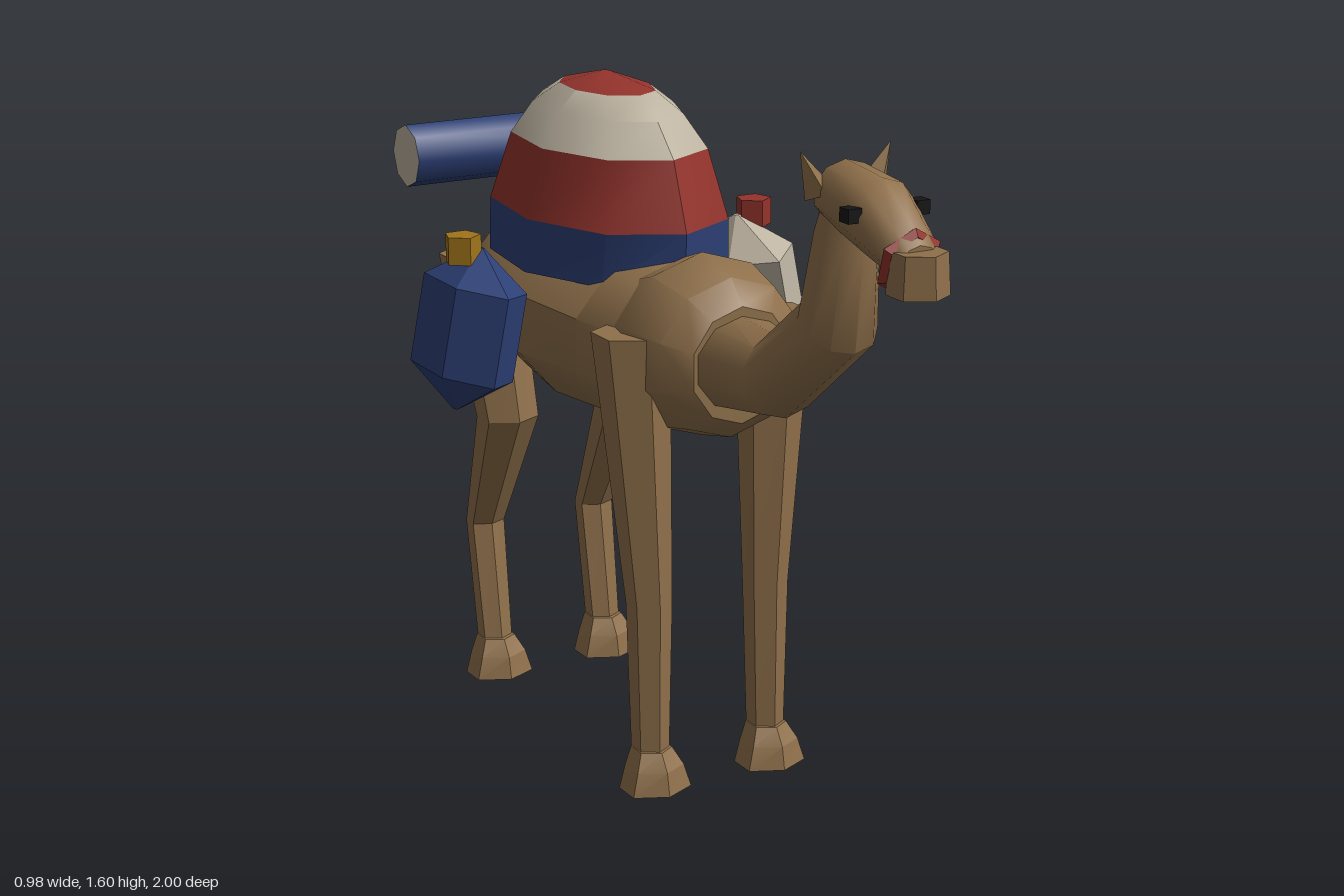
import * as THREE from 'three';
import { toCreasedNormals } from 'three/addons/utils/BufferGeometryUtils.js';

const mat = (name, color) => {
  const m = new THREE.MeshStandardMaterial({ color });
  m.name = name;
  return m;
};

// Skin through rings [x, y, z, radiusX, radiusUp, tilt]; each ring is spanned
// by X and (0, cos tilt, sin tilt). Rings run back to front, or top down at DOWN.
const DOWN = Math.PI / 2;
function loft(rings, sides, crease = 0.7) {
  const pos = [], idx = [];
  for (const [x, y, z, rx, ru, t = 0] of rings) {
    for (let i = 0; i < sides; i++) {
      const a = (i / sides) * Math.PI * 2, u = ru * Math.cos(a);
      pos.push(x + rx * Math.sin(a), y + u * Math.cos(t), z + u * Math.sin(t));
    }
  }
  const last = rings.length - 1, start = rings.length * sides;
  pos.push(...rings[0].slice(0, 3), ...rings[last].slice(0, 3));
  for (let i = 0; i < sides; i++) {
    const j = (i + 1) % sides;
    for (let k = 0; k < last; k++) {
      const a = k * sides + i, b = k * sides + j;
      idx.push(a, a + sides, b, b, a + sides, b + sides);
    }
    idx.push(start, i, j, start + 1, last * sides + j, last * sides + i);
  }
  const g = new THREE.BufferGeometry();
  g.setAttribute('position', new THREE.Float32BufferAttribute(pos, 3));
  g.setIndex(idx);
  return toCreasedNormals(g, crease);
}

// Rings stacked downward: [x, y, z, radiusX, radiusZ]
const stack = (rings, sides, crease) => loft(rings.map((r) => [...r, DOWN]), sides, crease);

export function createModel() {
  const model = new THREE.Group();
  const fur = mat('tan fur', 0x8f704b);
  const red = mat('red cloth', 0x93332c);
  const blue = mat('blue cloth', 0x2d4076);
  const cream = mat('cream cloth', 0xbdb3a1);
  const gold = mat('gold', 0xa0751b);
  const black = mat('black', 0x141414);

  const add = (name, geo, m, x = 0, y = 0, z = 0, parent = model) => {
    const mesh = new THREE.Mesh(geo, m);
    mesh.name = name;
    mesh.position.set(x, y, z);
    parent.add(mesh);
    return mesh;
  };

  // Trunk, chest and neck
  add('body', loft([
    [0, 1.05, -0.89, 0.08, 0.08],
    [0, 1.04, -0.74, 0.2, 0.155],
    [0, 1.03, -0.55, 0.255, 0.205],
    [0, 1.02, -0.35, 0.272, 0.225],
    [0, 1.02, -0.1, 0.245, 0.21],
    [0, 1.02, 0.1, 0.2, 0.18],
  ], 10), fur);
  add('chest', loft([
    [0, 1.03, -0.04, 0.19, 0.18],
    [0, 1.035, 0.07, 0.22, 0.215],
    [0, 1.035, 0.2, 0.19, 0.185],
    [0, 1.03, 0.25, 0.13, 0.135],
  ], 10), fur);
  add('neck', loft([
    [0, 1.03, 0.15, 0.13, 0.12],
    [0, 1.045, 0.415, 0.1, 0.09, -0.25],
    [0, 1.22, 0.64, 0.09, 0.086, -0.95],
    [0, 1.42, 0.67, 0.072, 0.067, -1.27],
    [0, 1.5, 0.68, 0.055, 0.055, -1.3],
  ], 10, 0.8), fur);

  // Head with muzzle, halter, eyes and ears
  add('head', loft([
    [0, 1.495, 0.6, 0.035, 0.035],
    [0, 1.505, 0.66, 0.078, 0.068],
    [0, 1.48, 0.8, 0.083, 0.08],
    [0, 1.43, 0.9, 0.064, 0.06],
    [0, 1.41, 0.94, 0.045, 0.04],
  ], 10, 0.8), fur);
  add('muzzle', toCreasedNormals(new THREE.CylinderGeometry(0.06, 0.065, 0.09, 6), 0.3),
    fur, 0, 1.393, 0.935);
  const halter = add('halter', toCreasedNormals(
    new THREE.TorusGeometry(0.064, 0.014, 4, 6).rotateZ(DOWN), 0.3), red, 0, 1.407, 0.9);
  halter.rotation.x = 0.28;

  for (const s of [1, -1]) {
    const side = s > 0 ? 'left' : 'right';
    add(side + 'Eye', new THREE.BoxGeometry(0.032, 0.03, 0.034), black, s * 0.082, 1.495, 0.81);
    const ear = add(side + 'Ear', toCreasedNormals(new THREE.ConeGeometry(0.034, 0.1, 4), 0.3),
      fur, s * 0.088, 1.555, 0.66);
    ear.rotation.z = -s * 0.45;

    // Straight front legs and bent hind legs
    add(side + 'FrontLeg', stack([
      [s * 0.185, 1.09, 0.072, 0.09, 0.088],
      [s * 0.155, 0.45, 0.098, 0.053, 0.054],
      [s * 0.155, 0.07, 0.102, 0.043, 0.046],
    ], 6, 0.4), fur);
    add(side + 'HindLeg', stack([
      [s * 0.188, 1.1, -0.705, 0.092, 0.115],
      [s * 0.165, 0.71, -0.605, 0.078, 0.068],
      [s * 0.155, 0.39, -0.768, 0.05, 0.04],
      [s * 0.155, 0.07, -0.722, 0.043, 0.043],
    ], 6, 0.4), fur);
    for (const [end, z] of [['Front', 0.125], ['Hind', -0.702]]) {
      add(side + end + 'Foot', stack([
        [s * 0.155, 0.095, z - 0.018, 0.047, 0.05],
        [s * 0.155, 0.055, z - 0.004, 0.07, 0.063],
        [s * 0.155, 0, z, 0.088, 0.07],
      ], 6, 0.3), fur);
    }

    // Tilted saddle bag with a knob on top
    const bag = add(side + 'Bag', stack([
      [0, 0.193, 0, 0.006, 0.01],
      [0, 0.108, 0, 0.106, 0.175],
      [0, -0.102, 0, 0.106, 0.175],
      [0, -0.193, 0, 0.006, 0.01],
    ], 6, 0.3), s > 0 ? cream : blue, s * 0.38, 1.02, -0.362);
    bag.rotation.z = s * 0.196;
    add(side + 'BagKnob', toCreasedNormals(new THREE.CylinderGeometry(0.044, 0.044, 0.065, 5), 0.3),
      s > 0 ? red : gold, s * 0.39, 1.213, -0.362);
  }

  add('tail', stack([
    [0, 1.1, -0.892, 0.022, 0.022],
    [0, 1.07, -0.905, 0.03, 0.03],
    [0, 0.9, -0.963, 0.036, 0.033],
    [0, 0.74, -0.966, 0.036, 0.034],
  ], 6, 0.3), fur);

  // Covered hump in coloured bands, from the top down
  const levels = [
    [0, 1.588, -0.38, 0.01, 0.02],
    [0, 1.556, -0.38, 0.098, 0.16],
    [0, 1.51, -0.38, 0.155, 0.245],
    [0, 1.435, -0.375, 0.205, 0.315],
    [0, 1.275, -0.38, 0.25, 0.38],
    [0, 1.15, -0.38, 0.258, 0.37],
  ];
  add('humpCap', stack(levels.slice(0, 2), 9), red);
  add('humpUpperBand', stack(levels.slice(1, 4), 9), cream);
  add('humpLowerBand', stack(levels.slice(3, 5), 9), red);
  add('saddleBlanket', stack(levels.slice(4), 9), blue);

  // Rolled bedding lying across the back: cloth side, pale ends
  const roll = add('bedroll', toCreasedNormals(
    new THREE.CylinderGeometry(0.076, 0.076, 0.69, 8, 1, true), 0.9), blue, 0, 1.35, -0.767);
  roll.rotation.z = DOWN;
  for (const s of [1, -1]) {
    const end = add('bedrollEnd', new THREE.CircleGeometry(0.076, 8), cream, s * 0.345, 1.35, -0.767);
    end.rotation.y = s * DOWN;
  }

  return model;
}
